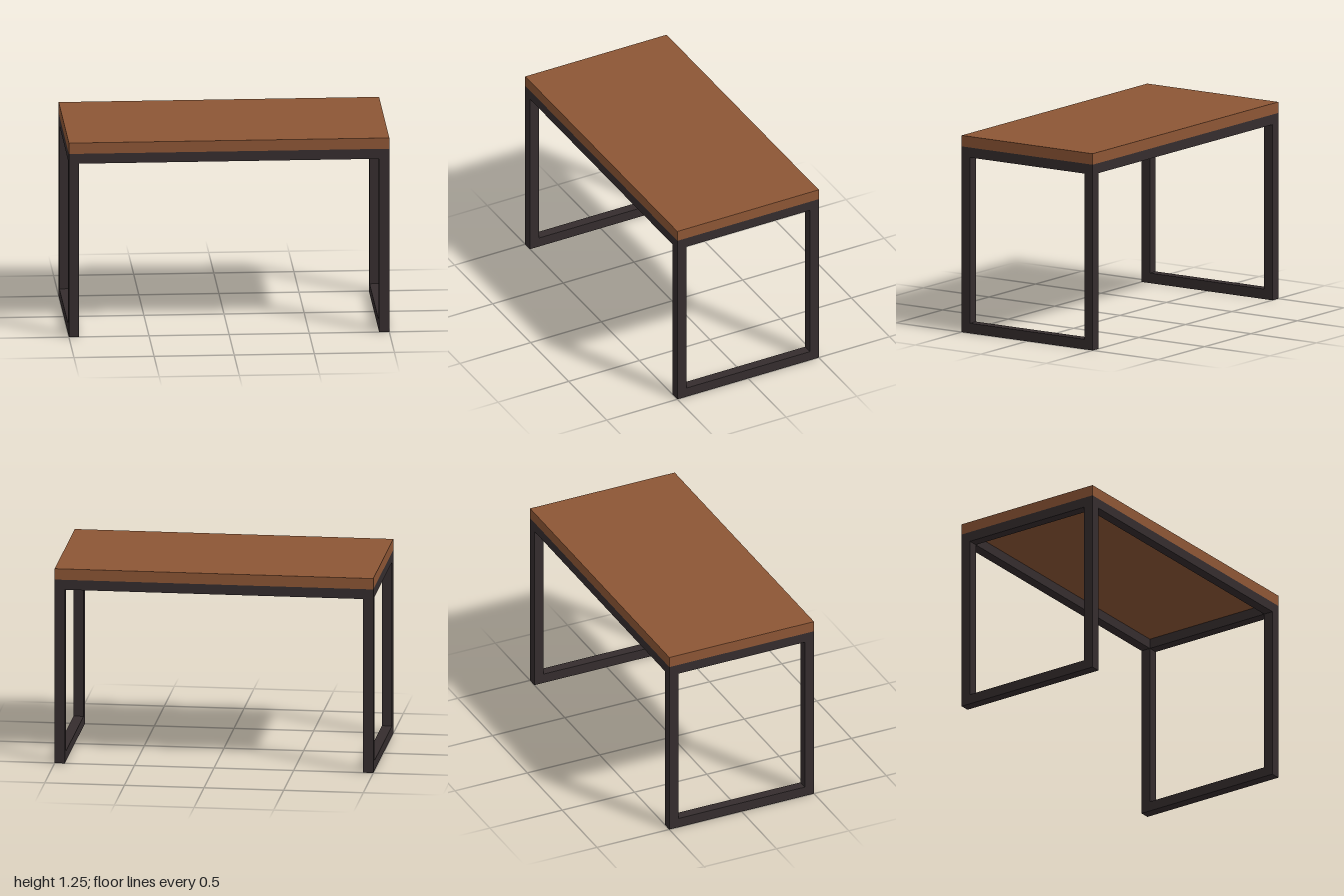
import * as THREE from 'three';

const LENGTH = 2, DEPTH = 1, HEIGHT = 1.25;
const TOP = 0.07;   // tabletop thickness
const BAR = 0.0635; // square steel tube

export function createModel() {
  const wood = new THREE.MeshStandardMaterial({ color: 0x8d5635 });
  wood.name = 'brown wood';
  const steel = new THREE.MeshStandardMaterial({ color: 0x352d2e });
  steel.name = 'dark steel';

  const box = (parent, name, material, size, position) => {
    const mesh = new THREE.Mesh(new THREE.BoxGeometry(...size), material);
    mesh.name = name;
    mesh.position.set(...position);
    parent.add(mesh);
  };

  const desk = new THREE.Group();
  desk.name = 'desk';
  const frameTop = HEIGHT - TOP;
  const legX = (LENGTH - BAR) / 2, legZ = (DEPTH - BAR) / 2;
  const railY = frameTop - BAR / 2;

  // Tabletop
  box(desk, 'tabletop', wood, [LENGTH, TOP, DEPTH], [0, HEIGHT - TOP / 2, 0]);

  // Closed rectangular leg frame at each end
  for (const [side, sx] of [['left', 1], ['right', -1]]) {
    const frame = new THREE.Group();
    frame.name = side + 'LegFrame';
    frame.position.x = sx * legX;
    desk.add(frame);
    for (const [end, sz] of [['front', 1], ['back', -1]]) {
      box(frame, end + 'Leg', steel, [BAR, frameTop, BAR], [0, frameTop / 2, sz * legZ]);
    }
    const span = DEPTH - 2 * BAR;
    box(frame, 'floorBar', steel, [BAR, BAR, span], [0, BAR / 2, 0]);
    box(frame, 'upperBar', steel, [BAR, BAR, span], [0, railY, 0]);
  }

  // Long rails joining the leg frames under the top
  for (const [end, sz] of [['front', 1], ['back', -1]]) {
    box(desk, end + 'Rail', steel, [LENGTH - 2 * BAR, BAR, BAR], [0, railY, sz * legZ]);
  }
  return desk;
}
